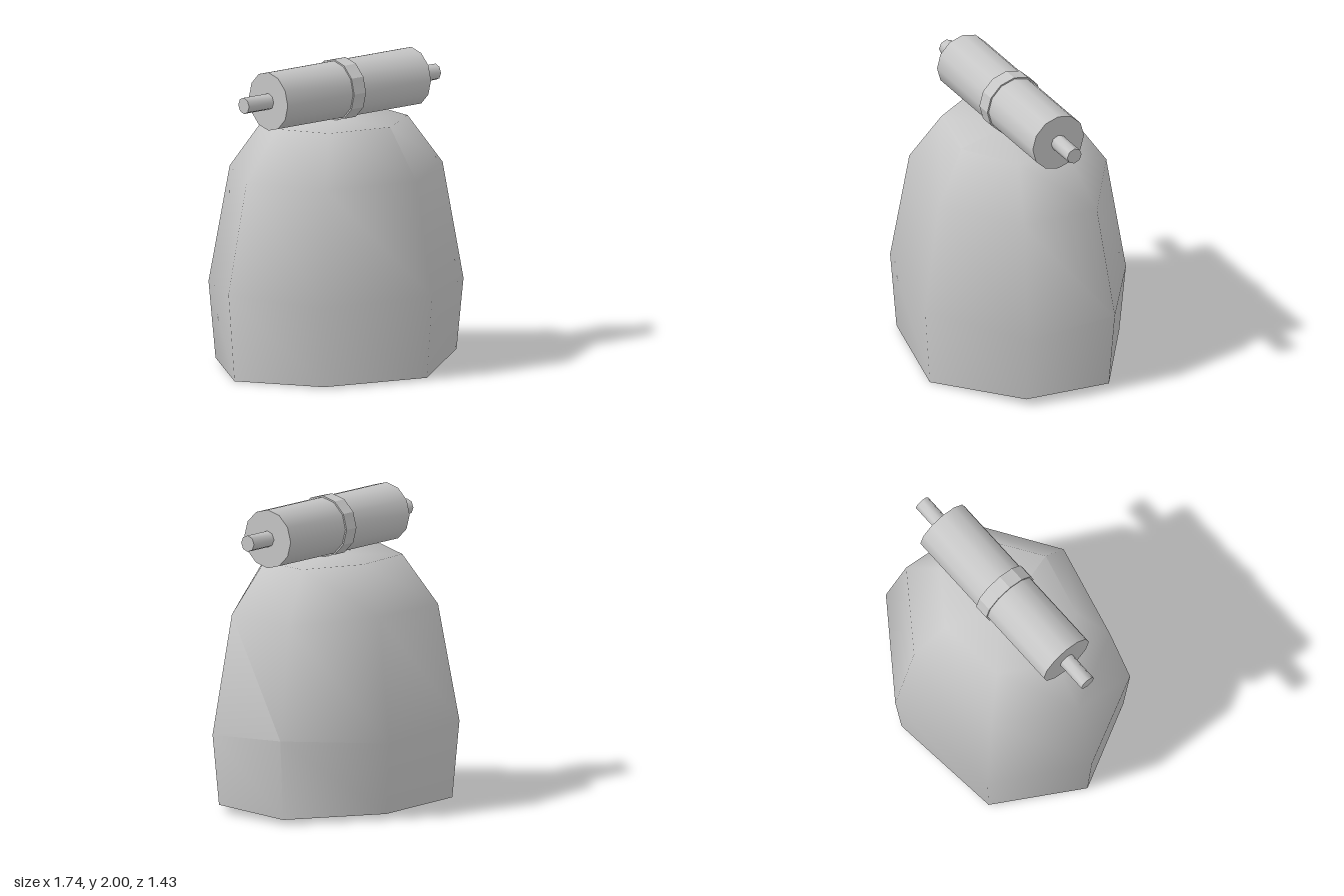
import * as THREE from 'three';
import { toCreasedNormals } from 'three/addons/utils/BufferGeometryUtils.js';

const grey = new THREE.MeshStandardMaterial({ color: 0xc6c6c6 });
grey.name = 'plain grey';

// Seven-sided outline at the widest level: x, z
const outline = [
  [-0.87, -0.05], [-0.53, -0.64], [0.28, -0.72], [0.865, -0.295],
  [0.8, 0.315], [0.19, 0.715], [-0.57, 0.53],
];
// Rings from the base to the shoulder: scale and the height of each corner
const rings = [
  { scale: 0.945, y: [0, 0.02, 0.035, 0.03, 0.05, 0, 0.01] },
  { scale: 1, y: [0.57, 0.52, 0.5, 0.55, 0.51, 0.54, 0.53] },
  { scale: 0.835, y: [1.28, 1.28, 1.3, 1.27, 1.28, 1.27, 1.28] },
  { scale: 0.56, y: [1.605, 1.605, 1.61, 1.597, 1.6, 1.605, 1.605] },
];

function bodyGeometry() {
  const n = outline.length;
  const pos = [];
  const index = [];
  for (const { scale, y } of rings) {
    outline.forEach(([x, z], i) => pos.push(x * scale, y[i], z * scale));
  }
  const bottom = n * rings.length;
  const top = bottom + 1;
  pos.push(0, 0.015, 0, 0, 1.605, 0);
  const last = n * (rings.length - 1);
  for (let i = 0; i < n; i++) {
    const k = (i + 1) % n;
    for (let r = 0; r < rings.length - 1; r++) {
      const a = r * n + i, b = r * n + k;
      index.push(a, a + n, b + n, a, b + n, b);
    }
    index.push(bottom, i, k, top, last + k, last + i);
  }
  const g = new THREE.BufferGeometry();
  g.setAttribute('position', new THREE.Float32BufferAttribute(pos, 3));
  g.setIndex(index);
  return toCreasedNormals(g, THREE.MathUtils.degToRad(62));
}

// Cylinder lying along x between two ends
function rod(name, x0, x1, radius, sides, crease) {
  const g = new THREE.CylinderGeometry(radius, radius, x1 - x0, sides);
  g.rotateZ(Math.PI / 2);
  g.translate((x0 + x1) / 2, 0, 0);
  const mesh = new THREE.Mesh(toCreasedNormals(g, crease), grey);
  mesh.name = name;
  return mesh;
}

export function createModel() {
  const model = new THREE.Group();
  model.name = 'model';

  const body = new THREE.Mesh(bodyGeometry(), grey);
  body.name = 'body';
  model.add(body);

  // Roller resting across the top
  const roller = new THREE.Group();
  roller.name = 'roller';
  roller.position.set(0, 1.8, -0.008);
  roller.add(
    rod('barrel', -0.57, 0.64, 0.19, 12, 1),
    rod('band', -0.017, 0.083, 0.2, 12, 0.1),
    rod('rightPin', -0.778, -0.57, 0.053, 8, 1),
    rod('leftPin', 0.64, 0.843, 0.053, 8, 1),
  );
  model.add(roller);
  return model;
}
